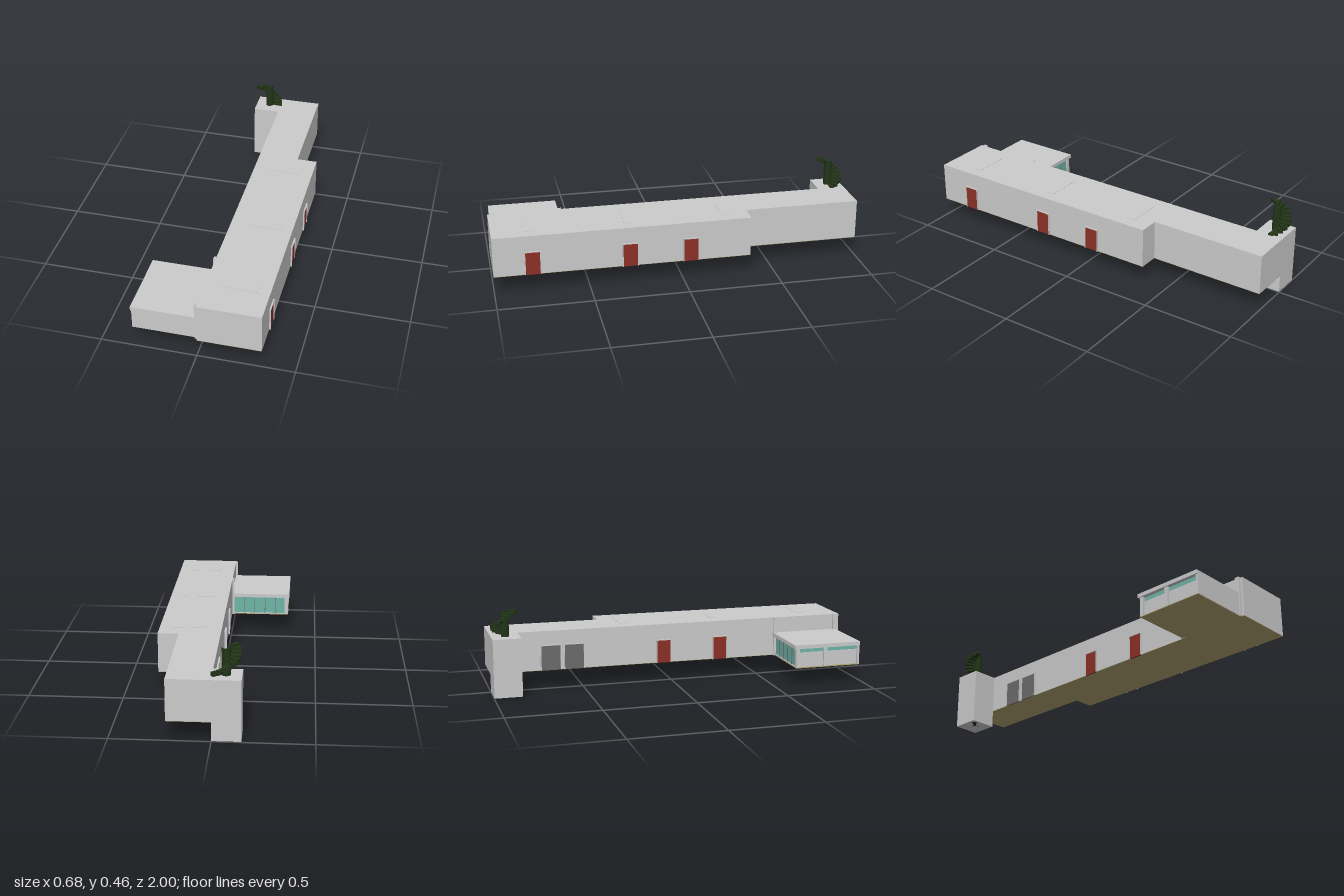
import * as THREE from 'three';

const mat = (color) => new THREE.MeshStandardMaterial({ color });

export function createModel() {
  const model = new THREE.Group();
  model.name = 'longBuilding';
  const grey = mat(0xcccccc), red = mat(0x8b3026), dark = mat(0x6c6c6c);
  const teal = mat(0x6fb5a8), olive = mat(0xb0a470), green = mat(0x223518);

  // Box given by its extents
  function box(name, [x0, x1], [y0, y1], [z0, z1], material = grey, parent = model) {
    const mesh = new THREE.Mesh(new THREE.BoxGeometry(x1 - x0, y1 - y0, z1 - z0), material);
    mesh.position.set((x0 + x1) / 2, (y0 + y1) / 2, (z0 + z1) / 2);
    mesh.name = name;
    parent.add(mesh);
    return mesh;
  }

  const BASE = 0.1, ROOF = 0.317;

  // Main hall: stepped plan extruded upwards
  const plan = new THREE.Shape(
    [[0, -1], [0.33, -1], [0.33, 0.37], [0.22, 0.37], [0.22, 1], [0, 1]].map(([x, y]) => new THREE.Vector2(x, y)));
  const extrudeUp = (shape, depth) =>
    new THREE.ExtrudeGeometry(shape, { depth, bevelEnabled: false, curveSegments: 6 }).rotateX(-Math.PI / 2);
  const hall = new THREE.Mesh(extrudeUp(plan, ROOF - BASE - 0.002), grey);
  hall.position.y = BASE + 0.002;
  hall.name = 'mainHall';
  const hallFloor = new THREE.Mesh(extrudeUp(plan, 0.002), olive);
  hallFloor.position.y = BASE;
  hallFloor.name = 'hallFloor';
  model.add(hall, hallFloor);

  // Stair tower at the back
  box('stairTower', [-0.145, 0], [0.003, ROOF], [-1, -0.85]);

  // Roof hatches
  for (const z of [0.8, 0.28, -0.25]) box('roofHatch', [0.083, 0.267], [ROOF - 0.01, 0.319], [z - 0.024, z + 0.024]);

  // Framed doors on a wall at x, projecting along side
  function door(x, side, z0, z1, top, material) {
    const g = new THREE.Group();
    g.name = 'door';
    const out = (d) => (side > 0 ? [x - 0.005, x + d] : [x - d, x + 0.005]);
    const t = 0.004;
    box('doorLeaf', out(0.004), [BASE, top - t], [z0 + t, z1 - t], material, g);
    box('doorJamb', out(0.008), [BASE, top], [z0, z0 + t], grey, g);
    box('doorJamb', out(0.008), [BASE, top], [z1 - t, z1], grey, g);
    box('doorHead', out(0.008), [top - t, top], [z0, z1], grey, g);
    model.add(g);
  }
  for (const z of [0.795, 0.283, -0.043]) door(0.33, 1, z - 0.042, z + 0.042, 0.23, red);
  for (const z of [0.283, -0.043]) door(0, -1, z - 0.042, z + 0.042, 0.23, red);
  for (const z of [-0.673, -0.545]) door(0, -1, z - 0.056, z + 0.056, 0.24, dark);

  // Side annex: floor, walls and overhanging roof
  box('annexFloor', [-0.337, 0], [BASE, 0.104], [0.61, 0.978], olive);
  box('annexRoof', [-0.343, 0], [0.209, 0.23], [0.6, 0.98]);
  box('annexFrontWall', [-0.337, 0], [0.102, 0.215], [0.968, 0.98]);
  for (const [z0, z1] of [[0.63, 0.77], [0.79, 0.968]]) {
    box('annexSideWall', [-0.325, -0.315], [0.102, 0.185], [z0, z1]);
    box('clerestory', [-0.322, -0.316], [0.185, 0.21], [z0, z1], teal);
  }
  for (const z of [0.62, 0.78]) box('annexPost', [-0.337, -0.315], [0.102, 0.21], [z - 0.01, z + 0.01]);

  // Glazed back wall of the annex with mullions
  box('glazing', [-0.325, 0], [0.104, 0.209], [0.616, 0.62], teal);
  box('glazingSill', [-0.325, 0], [0.102, 0.108], [0.611, 0.622]);
  for (let i = 0; i <= 5; i++) {
    const x = -0.322 + i * 0.0625;
    box('mullion', [x - 0.0015, x + 0.0015], [0.104, 0.209], [0.612, 0.62], dark);
  }

  // Posts where the annex meets the hall
  for (const z of [0.615, 0.975]) box('junctionPost', [-0.012, 0.002], [BASE, 0.319], [z - 0.012, z + 0.012]);

  // Spiral stair climbing through the tower and above its roof
  const stair = new THREE.Group();
  stair.name = 'spiralStair';
  stair.position.set(-0.068, 0, -0.925);
  const pole = new THREE.Mesh(new THREE.CylinderGeometry(0.0215, 0.0215, 0.457, 24, 1, true), green);
  pole.position.y = 0.457 / 2;
  pole.name = 'stairPole';
  stair.add(pole);
  const STEPS = 37, RISE = 0.463 / STEPS, TURN = THREE.MathUtils.degToRad(20);
  const tread = new THREE.Shape();
  tread.absarc(0, 0, 0.075, 0, TURN, false);
  tread.absarc(0, 0, 0.0205, TURN, 0, true);
  const treadGeometry = extrudeUp(tread, RISE * 1.4);
  const lastAngle = THREE.MathUtils.degToRad(215);
  for (let i = 0; i < STEPS; i++) {
    const step = new THREE.Mesh(treadGeometry, green);
    step.position.y = Math.max(0, RISE * (i - 0.4));
    step.rotation.y = lastAngle - (STEPS - 1 - i) * TURN;
    step.name = 'stairTread';
    stair.add(step);
  }
  model.add(stair);
  return model;
}
